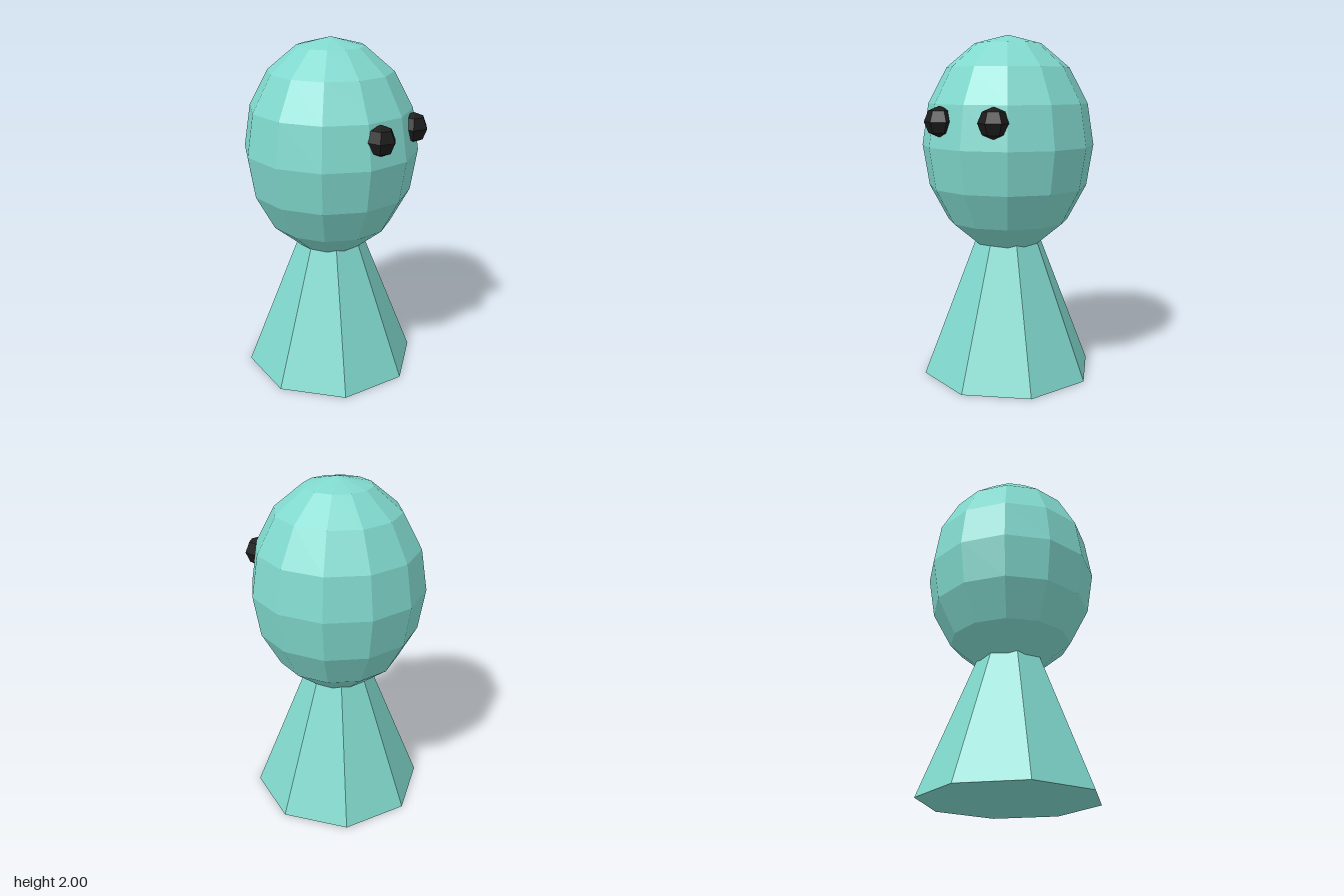
import * as THREE from 'three';

export function createModel() {
  const model = new THREE.Group();
  model.name = 'pawnFigure';

  const teal = new THREE.MeshStandardMaterial({ name: 'teal', color: 0x80d8cd, flatShading: true });
  const black = new THREE.MeshStandardMaterial({ name: 'black', color: 0x1c1c1c, flatShading: true });

  const add = (name, geometry, material, x, y, z) => {
    const mesh = new THREE.Mesh(geometry, material);
    mesh.name = name;
    mesh.position.set(x, y, z);
    model.add(mesh);
    return mesh;
  };

  const centreZ = -0.007;

  // Eight-sided cone body, its tip hidden in the head
  const bodyHeight = 1.31;
  add('body', new THREE.ConeGeometry(0.515, bodyHeight, 8), teal, 0, bodyHeight / 2, centreZ);

  // Tall faceted egg-shaped head
  const head = add('head', new THREE.SphereGeometry(0.504, 12, 8), teal, 0, 1.37, centreZ);
  head.scale.y = 1.25;

  // Low-poly bead eyes with an edge facing forward
  for (const side of [-1, 1]) {
    const eye = new THREE.SphereGeometry(0.086, 6, 4).rotateY(Math.PI / 6);
    add(side > 0 ? 'leftEye' : 'rightEye', eye, black, side * 0.173, 1.518, 0.436);
  }

  return model;
}
